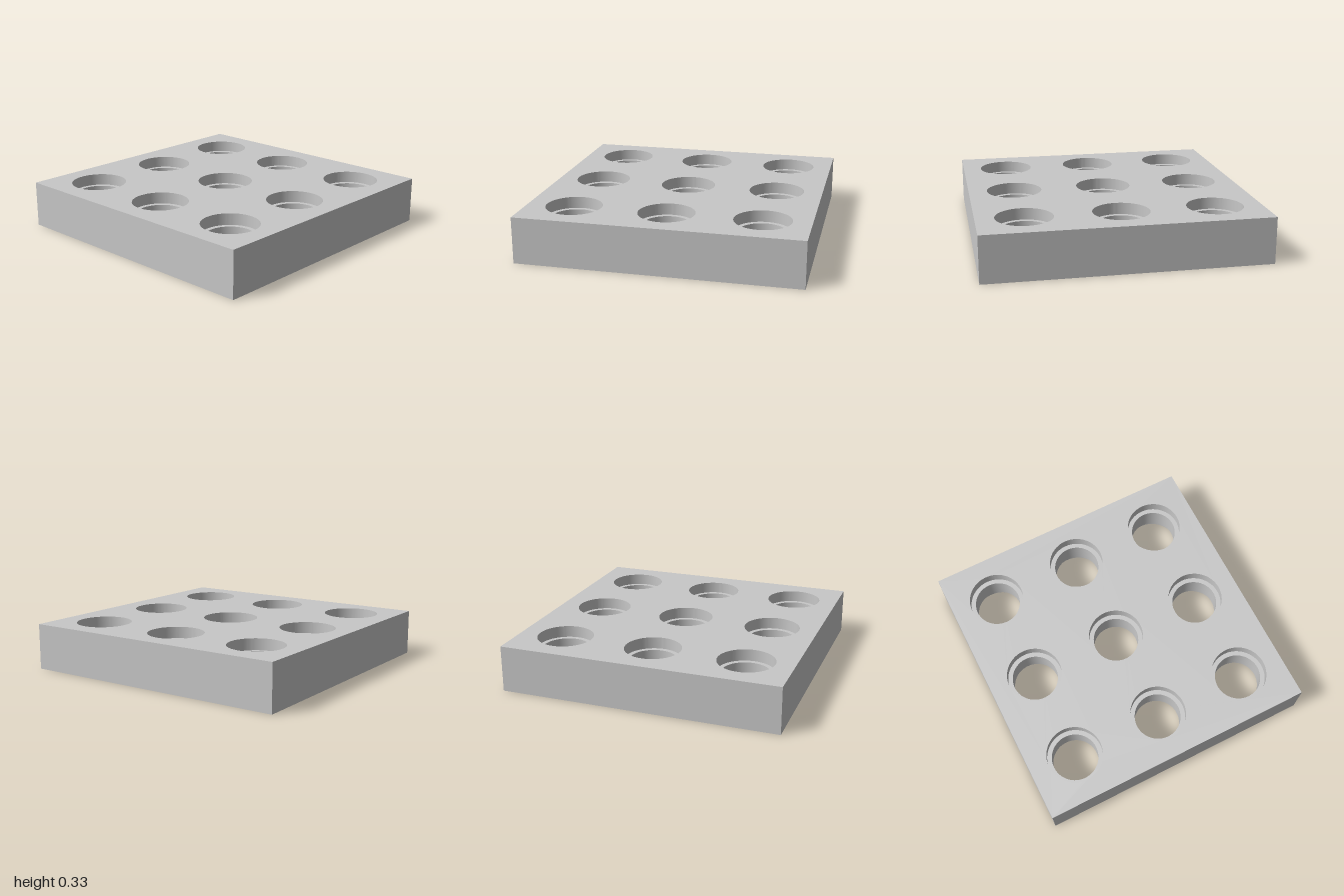
import * as THREE from 'three';
import { toCreasedNormals } from 'three/addons/utils/BufferGeometryUtils.js';

const HEIGHT = 1 / 3, PITCH = 2 / 3;
const RECESS_RADIUS = 0.2, BORE_RADIUS = 1 / 6, RECESS_DEPTH = 0.083;
const SEGMENTS = 64;

export function createModel() {
  const model = new THREE.Group();
  model.name = 'perforatedPlate';
  const grey = new THREE.MeshStandardMaterial({ color: 0xc8c8c8 });
  grey.name = 'light grey';

  const centres = [];
  for (const x of [-PITCH, 0, PITCH]) for (const z of [-PITCH, 0, PITCH]) centres.push([x, z]);

  // Square plate with nine wide holes
  const outline = new THREE.Shape();
  outline.moveTo(-1, -1).lineTo(1, -1).lineTo(1, 1).lineTo(-1, 1).closePath();
  for (const [x, z] of centres) {
    outline.holes.push(new THREE.Path().absarc(x, -z, RECESS_RADIUS, 0, Math.PI * 2, true));
  }
  const plateGeometry = new THREE.ExtrudeGeometry(outline, {
    depth: HEIGHT, bevelEnabled: false, curveSegments: SEGMENTS,
  }).rotateX(-Math.PI / 2);
  const plate = new THREE.Mesh(toCreasedNormals(plateGeometry, 0.5), grey);
  plate.name = 'plate';
  model.add(plate);

  // Narrow collar inside each hole, leaving a recess above and below
  const low = RECESS_DEPTH, high = HEIGHT - RECESS_DEPTH;
  const profile = [
    [RECESS_RADIUS, high], [BORE_RADIUS, high], [BORE_RADIUS, low], [RECESS_RADIUS, low],
  ].map(([r, y]) => new THREE.Vector2(r, y));
  const collarGeometry = toCreasedNormals(new THREE.LatheGeometry(profile, SEGMENTS), 0.5);
  for (const [x, z] of centres) {
    const collar = new THREE.Mesh(collarGeometry, grey);
    collar.name = 'holeCollar';
    collar.position.set(x, 0, z);
    model.add(collar);
  }
  return model;
}
